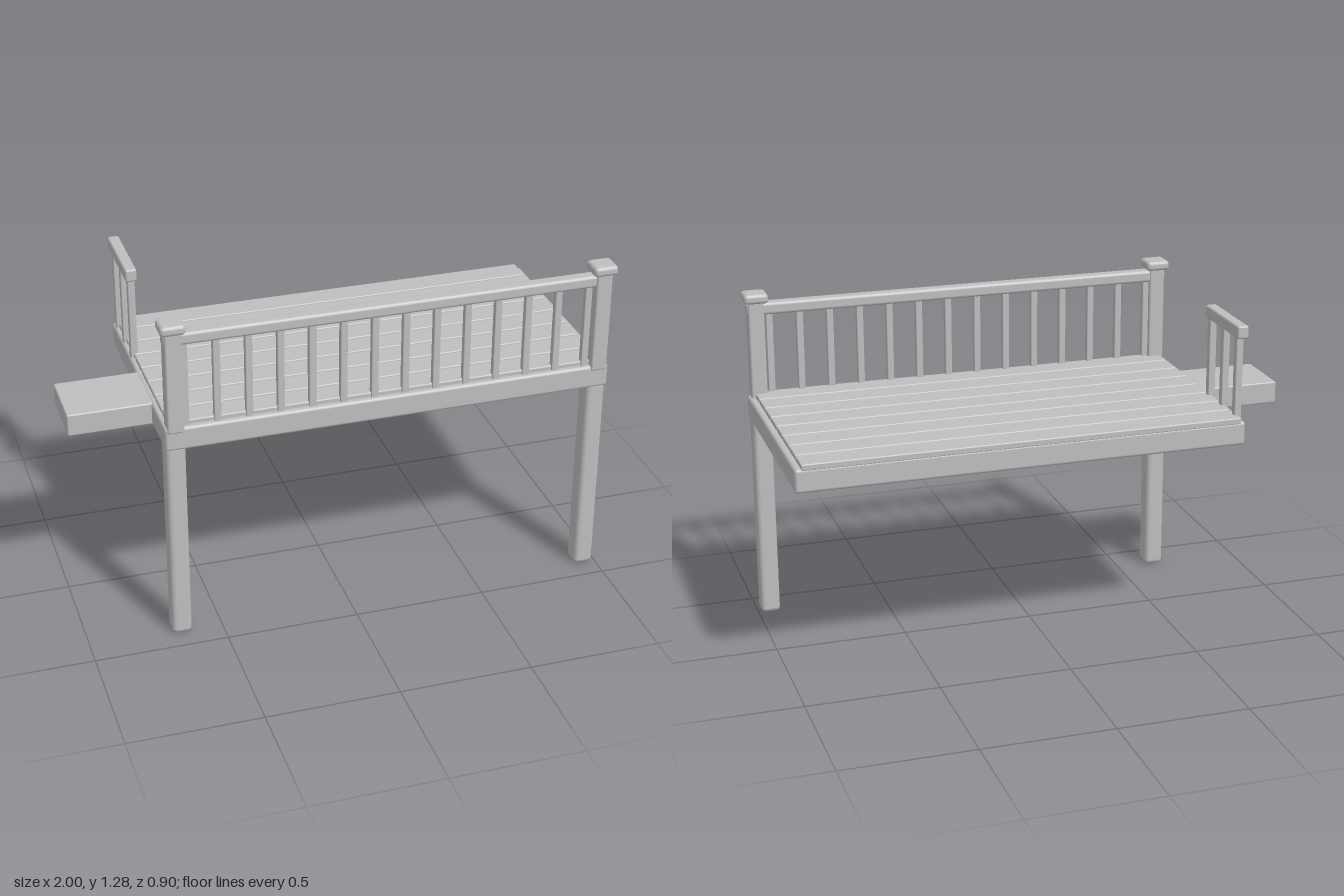
import * as THREE from 'three';
import { RoundedBoxGeometry } from 'three/addons/geometries/RoundedBoxGeometry.js';

export function createModel() {
  const model = new THREE.Group();
  model.name = 'deck';
  const paleGrey = new THREE.MeshStandardMaterial({ color: 0xbebebe });
  paleGrey.name = 'paleGrey';

  // Bevelled block given by its min and max on each axis
  function block(name, [x0, x1], [y0, y1], [z0, z1], bevel = 0.008) {
    const geometry = new RoundedBoxGeometry(x1 - x0, y1 - y0, z1 - z0, 2, bevel);
    const mesh = new THREE.Mesh(geometry, paleGrey);
    mesh.position.set((x0 + x1) / 2, (y0 + y1) / 2, (z0 + z1) / 2);
    mesh.name = name;
    model.add(mesh);
    return mesh;
  }
  const around = (c, width) => [c - width / 2, c + width / 2];

  // Platform and the small step on its right side
  block('platform', [-0.692, 0.992], [0.786, 0.876], [-0.446, 0.432], 0.012);
  block('sideStep', [-1, -0.67], [0.787, 0.873], [-0.028, 0.222], 0.006);

  // Floor planks, separated by narrow gaps
  const pitch = 0.1085;
  for (let i = 0; i < 8; i++) {
    const z = -0.449 + i * pitch;
    block('floorPlank', [-0.675, 0.968], [0.868, 0.893], [z + 0.003, Math.min(z + pitch - 0.004, 0.41)], 0.005);
  }

  // Front legs, posts and caps
  for (const x of [-0.653, 0.952]) {
    block('leg', around(x, 0.074), [0, 0.8], [0.344, 0.425], 0.018);
    block('post', around(x, 0.061), [0.858, 1.26], [0.375, 0.438], 0.008);
    block('postCap', around(x, 0.092), [1.246, 1.284], [0.36, 0.45], 0.014);
  }

  // Front railing
  block('frontRail', [-0.688, 0.988], [1.198, 1.245], [0.379, 0.43], 0.012);
  for (let i = 0; i < 14; i++) {
    block('frontBaluster', around(-0.612 + i * 0.1164, 0.026), [0.87, 1.21], around(0.404, 0.026), 0.004);
  }

  // Short railing on the right side, towards the back
  block('sideRail', [-0.695, -0.652], [1.191, 1.24], [-0.438, -0.125], 0.008);
  for (const z of [-0.148, -0.276, -0.4]) {
    block('sideBaluster', around(-0.673, 0.027), [0.87, 1.2], around(z, 0.028), 0.004);
  }
  return model;
}
